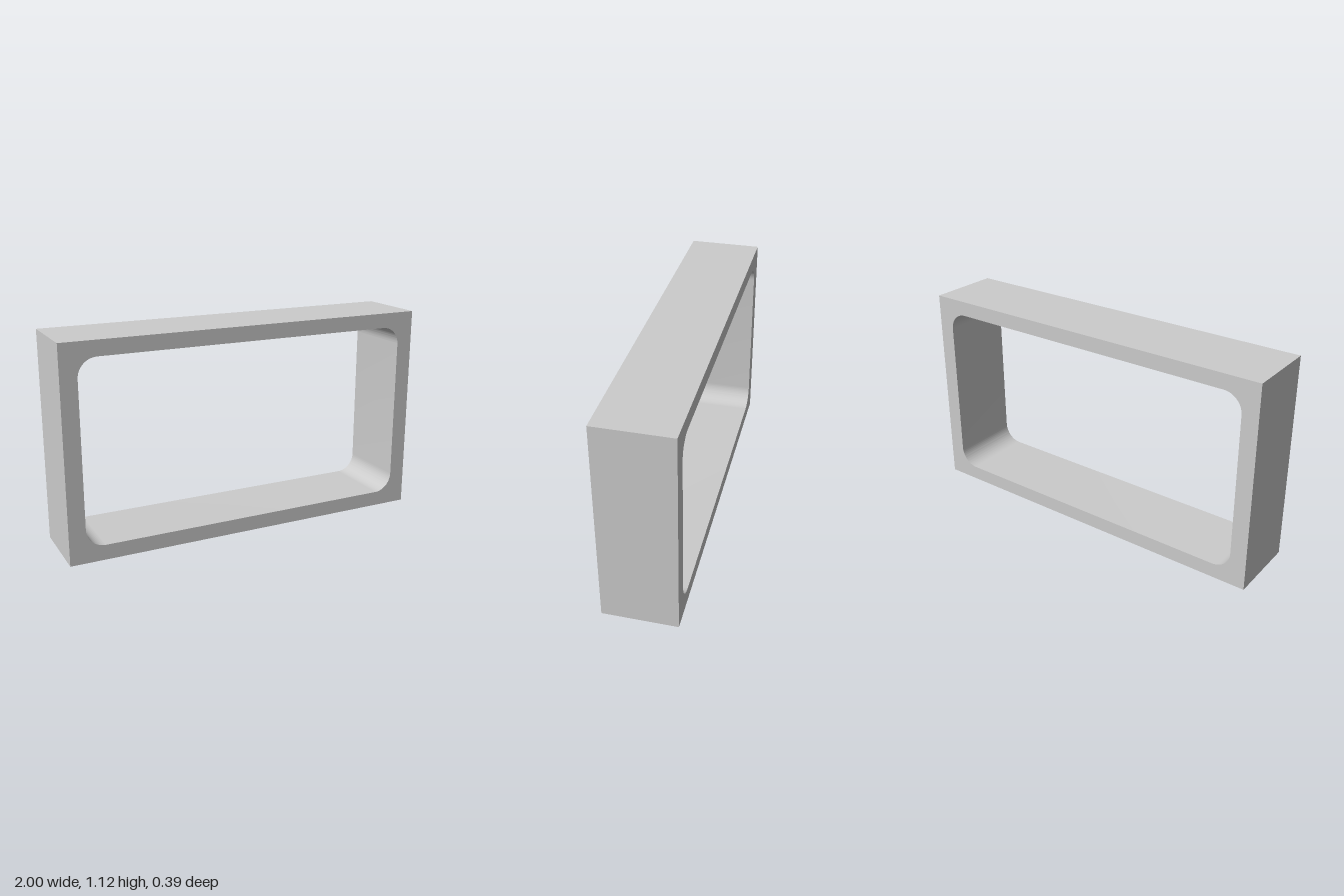
import * as THREE from 'three';
import { toCreasedNormals } from 'three/addons/utils/BufferGeometryUtils.js';

const HEIGHT = 1.122, DEPTH = 0.392;

// Rectangular opening with rounded corners
function roundedOpening(x0, y0, x1, y1, r) {
  const path = new THREE.Path();
  path.moveTo(x0 + r, y0);
  path.absarc(x1 - r, y0 + r, r, -Math.PI / 2, 0);
  path.absarc(x1 - r, y1 - r, r, 0, Math.PI / 2);
  path.absarc(x0 + r, y1 - r, r, Math.PI / 2, Math.PI);
  path.absarc(x0 + r, y0 + r, r, Math.PI, Math.PI * 1.5);
  path.closePath();
  return path;
}

export function createModel() {
  const group = new THREE.Group();
  group.name = 'rectangularFrame';

  // Sharp-cornered outer outline
  const outline = new THREE.Shape([
    new THREE.Vector2(-1, 0),
    new THREE.Vector2(1, 0),
    new THREE.Vector2(1, HEIGHT),
    new THREE.Vector2(-1, HEIGHT),
  ]);
  outline.holes.push(roundedOpening(-0.912, 0.08, 0.912, 1.042, 0.1));

  // Extruded through the depth, smooth only around the inner corners
  const geometry = new THREE.ExtrudeGeometry(outline, {
    depth: DEPTH, bevelEnabled: false, curveSegments: 16,
  });
  geometry.translate(0, 0, -DEPTH / 2);

  const frame = new THREE.Mesh(
    toCreasedNormals(geometry, Math.PI / 6),
    new THREE.MeshStandardMaterial({ color: 0xcccccc }),
  );
  frame.name = 'frame';
  group.add(frame);
  return group;
}
